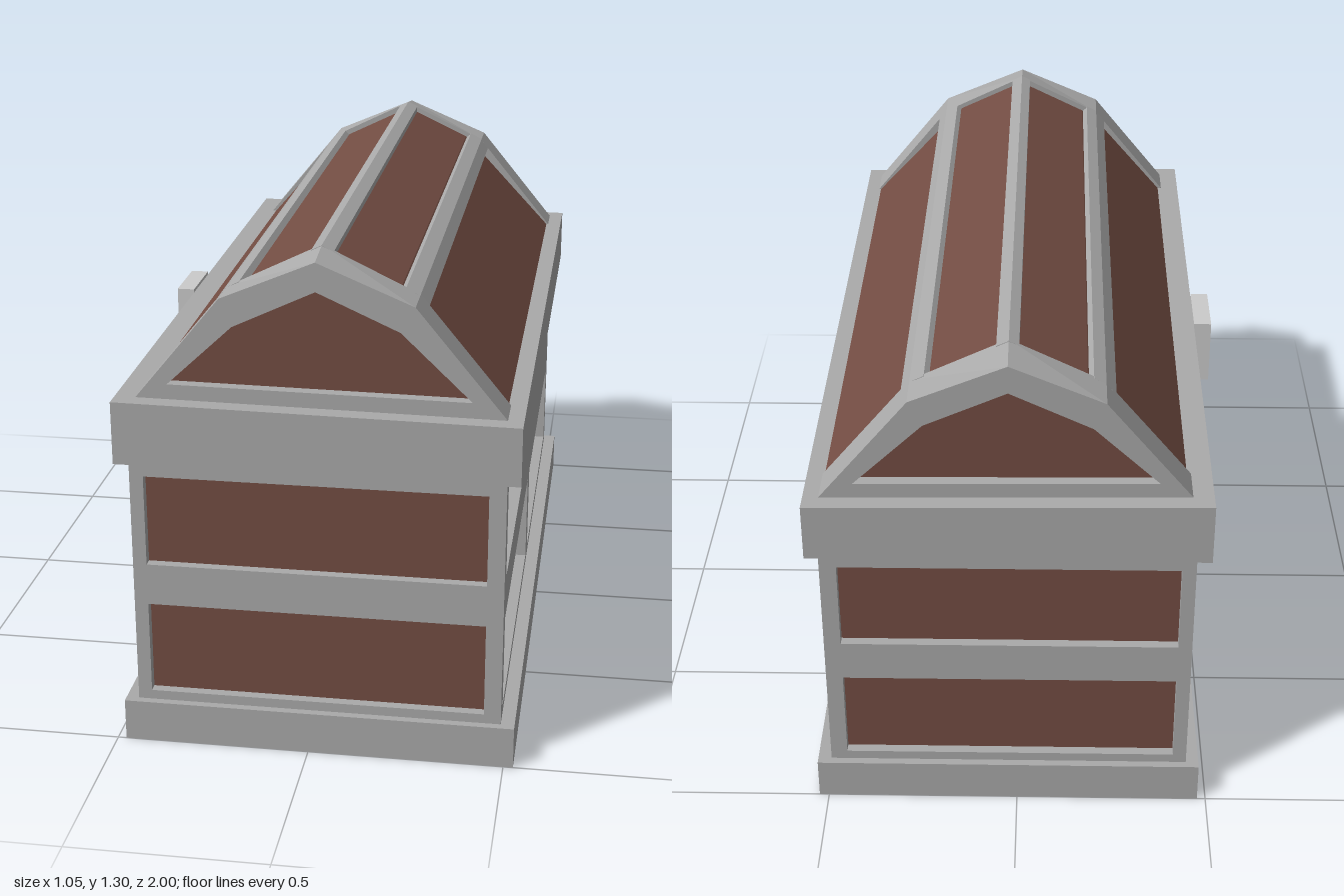
import * as THREE from 'three';

const grey = new THREE.MeshStandardMaterial({ color: 0xaaaaaa, flatShading: true });
const paleGrey = new THREE.MeshStandardMaterial({ color: 0xcccccc, flatShading: true });
const brown = new THREE.MeshStandardMaterial({ color: 0x734d43, flatShading: true });

const rect = (x0, x1, y0, y1) => [[x0, y0], [x1, y0], [x1, y1], [x0, y1]];
const vecs = (pts) => pts.map(([x, y]) => new THREE.Vector2(x, y));

// Outline with holes, extruded from z0 to z1
function slab(outline, holes, z0, z1) {
  const shape = new THREE.Shape(vecs(outline));
  for (const h of holes) shape.holes.push(new THREE.Path(vecs(h)));
  return new THREE.ExtrudeGeometry(shape, { depth: z1 - z0, bevelEnabled: false }).translate(0, 0, z0);
}

function block(x0, x1, y0, y1, z0, z1) {
  return new THREE.BoxGeometry(x1 - x0, y1 - y0, z1 - z0)
    .translate((x0 + x1) / 2, (y0 + y1) / 2, (z0 + z1) / 2);
}

// Move every vertex by a rule
function bend(geometry, rule) {
  const p = geometry.attributes.position;
  const v = new THREE.Vector3();
  for (let i = 0; i < p.count; i++) {
    v.fromBufferAttribute(p, i);
    rule(v);
    p.setXYZ(i, v.x, v.y, v.z);
  }
  geometry.computeVertexNormals();
  return geometry;
}

export function createModel() {
  const chest = new THREE.Group();
  chest.name = 'chest';
  const add = (name, geometry, material = grey) => {
    const mesh = new THREE.Mesh(geometry, material);
    mesh.name = name;
    chest.add(mesh);
  };

  // Base plinth with a recessed floor
  const plinth = slab(rect(-0.478, 0.525, -1, 1), [rect(-0.44, 0.487, -0.96, 0.96)], 0, 0.11);
  add('basePlinth', plinth.rotateX(-Math.PI / 2));
  add('floor', block(-0.443, 0.488, 0.08, 0.105, -0.965, 0.965), brown);

  // Wooden body behind the frames, with a groove between the upper left planks
  const body = [[-0.355, 0.1], [0.4, 0.1], [0.4, 0.585], [0.375, 0.597], [0.4, 0.607], [0.4, 0.77], [-0.355, 0.77]];
  add('bodyCore', slab(body, [], -0.94, 0.94), brown);

  // End frames and their panels
  const endHoles = [rect(-0.41, 0.447, 0.135, 0.382), rect(-0.41, 0.447, 0.492, 0.732)];
  for (const [side, s] of [['front', 1], ['back', -1]]) {
    const z = s > 0 ? 0.95 : -0.98;
    add(side + 'Frame', slab(rect(-0.445, 0.49, 0.1, 0.77), endHoles, z, z + 0.03));
    add(side + 'Panels', block(-0.43, 0.475, 0.12, 0.76, s * 0.943 - 0.012, s * 0.943 + 0.012), brown);
  }

  // Long side frames with four deep openings each
  const sideHoles = [];
  for (const [z0, z1] of [[-0.925, -0.035], [0.035, 0.925]])
    for (const [y0, y1] of [[0.135, 0.382], [0.495, 0.742]]) sideHoles.push(rect(z0, z1, y0, y1));
  for (const [side, x0, x1] of [['right', -0.445, -0.35], ['left', 0.395, 0.49]])
    add(side + 'Frame', slab(rect(-0.95, 0.95, 0.1, 0.77), sideHoles, x0, x1).rotateY(Math.PI / 2));

  // Lid rim, a little higher on the latch side
  add('lidRim', bend(block(-0.482, 0.524, 0.765, 0.922, -0.99, 0.99), (v) => {
    if (v.y > 0.9) v.y -= Math.sign(v.x) * 0.006;
  }));

  // Latch
  add('latch', block(-0.53, -0.482, 0.757, 0.937, -0.09, 0.09), paleGrey);

  // Lid boards, slightly below the arch
  const boards = [
    [-0.43, 0.915], [0.485, 0.91], [0.27, 1.14], [0.21, 1.2], [0.05, 1.275],
    [0.02, 1.28], [-0.005, 1.275], [-0.17, 1.195], [-0.235, 1.14],
  ];
  add('lidBoards', slab(boards, [], -0.915, 0.915), brown);

  // Arched lid ends, the ridge rising towards the inside
  const arch = [[-0.44, 0.915], [0.49, 0.91], [0.26, 1.19], [0.02, 1.29], [-0.215, 1.19]];
  const archHole = [[-0.35, 0.965], [0.4, 0.957], [0.225, 1.125], [0.02, 1.217], [-0.185, 1.12]];
  for (const [side, z] of [['front', 0.84], ['back', -0.945]])
    add(side + 'LidArch', bend(slab(arch, [archHole], z, z + 0.105), (v) => {
      if (v.y > 1.28 && Math.abs(v.z) < 0.9) v.y = 1.305;
    }));

  // Lengthwise lid beams at the shoulders and ridge
  const beams = {
    rightLidBeam: [[-0.2, 1.12], [-0.165, 1.15], [-0.17, 1.19], [-0.185, 1.205], [-0.215, 1.19], [-0.24, 1.16], [-0.23, 1.13]],
    ridgeBeam: [[-0.005, 1.23], [0.05, 1.23], [0.05, 1.291], [0.02, 1.305], [-0.005, 1.293]],
    leftLidBeam: [[0.205, 1.15], [0.245, 1.12], [0.268, 1.13], [0.282, 1.163], [0.26, 1.19], [0.225, 1.207], [0.21, 1.195]],
  };
  for (const [name, section] of Object.entries(beams)) add(name, slab(section, [], -0.85, 0.85));

  return chest;
}
